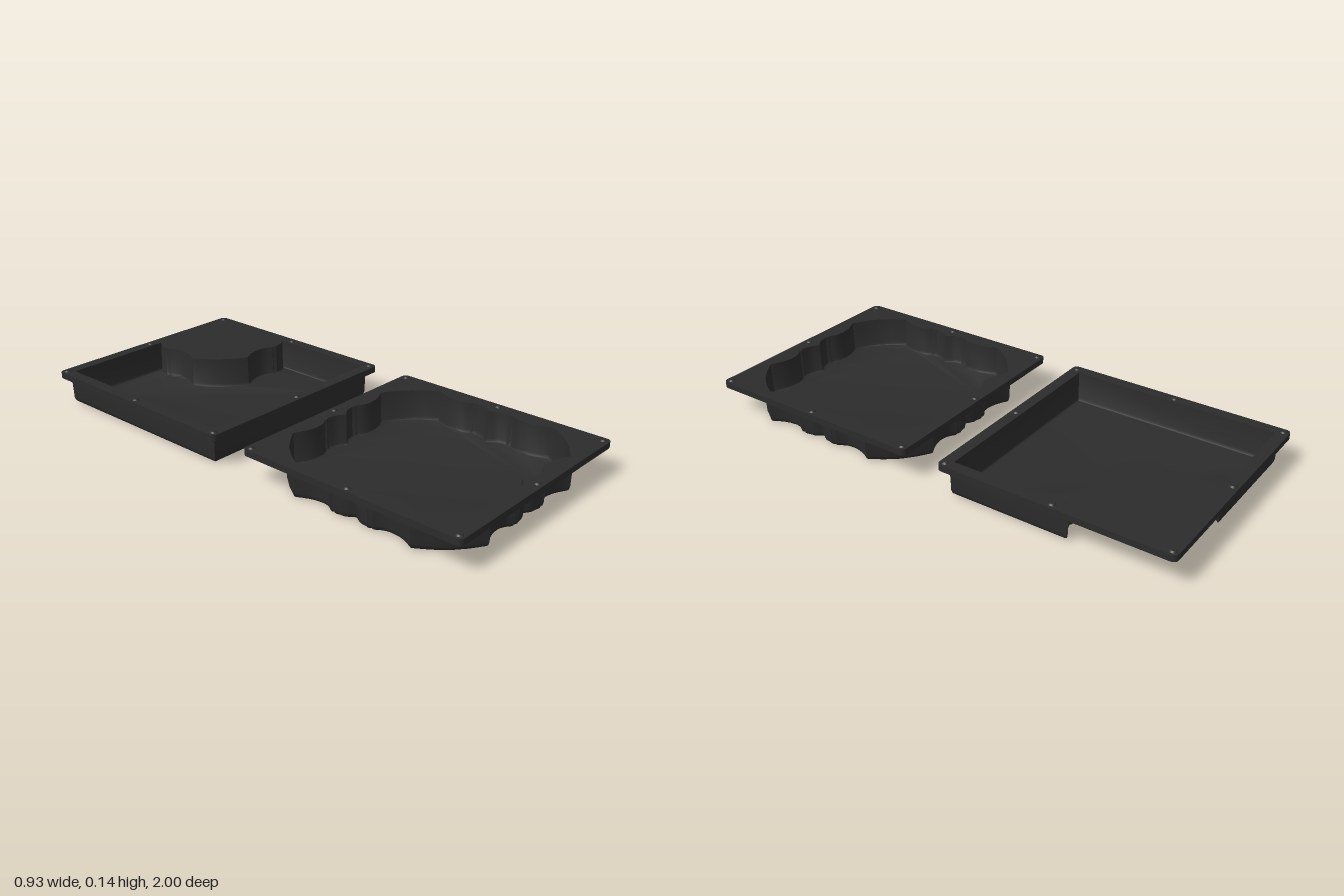
import * as THREE from 'three';
import { toCreasedNormals } from 'three/addons/utils/BufferGeometryUtils.js';

const HALF = 0.463;   // half width of the rim
const WELL = 0.418;   // half width of the well opening
const TOP = 0.135;    // height of the rim surface

// Half of one scalloped side: [position along side, depth inward]
const scallop = [
  [-0.25, 0], [-0.23, 0.011], [-0.205, 0.022], [-0.18, 0.029], [-0.15, 0.032], [-0.125, 0.029],
  [-0.105, 0.02], [-0.09, 0.009], [-0.082, 0.013], [-0.069, 0.006], [-0.058, 0.009],
  [-0.035, 0.012], [-0.017, 0.023], [0, 0.036],
];

// Outline of the well scalloped on all four sides, as [x, z] points
function scallopedOutline() {
  const half = scallop.map(([t, d]) => [t, d - WELL]);
  const mirrored = half.slice(0, -1).reverse().map(([x, z]) => [-x, z]);
  let side = [...half, ...mirrored, [0.301, -0.385], [0.347, -0.347], [0.385, -0.301]];
  const points = [];
  for (let i = 0; i < 4; i++) {
    points.push(...side);
    side = side.map(([x, z]) => [-z, x]);
  }
  return points;
}

// Outline of the square well with a scalloped corner left out
function notchedOutline() {
  const edge = scallop.map(([t, d]) => [t + WELL, -0.005 - d]);
  const mirrored = edge.map(([x, z]) => [-z, -x]).reverse();
  return [
    [-WELL, -WELL], ...mirrored, [0.037, -0.119], [0.075, -0.075], [0.119, -0.037],
    ...edge, [WELL, WELL], [-WELL, WELL],
  ];
}

// Move an outline outward by a distance, with mitred corners
function offset(points, distance) {
  const n = points.length;
  const normal = (a, b) => {
    const dx = b[0] - a[0], dz = b[1] - a[1], l = Math.hypot(dx, dz);
    return [dz / l, -dx / l];
  };
  return points.map((p, i) => {
    const a = normal(points[(i + n - 1) % n], p);
    const b = normal(p, points[(i + 1) % n]);
    const k = distance / Math.max(0.5, 1 + a[0] * b[0] + a[1] * b[1]);
    return [p[0] + (a[0] + b[0]) * k, p[1] + (a[1] + b[1]) * k];
  });
}

// Thin-walled well: rings run down the outside, then up the inside
function wellGeometry(outline) {
  const positions = [];
  const ring = ([distance, y]) => offset(outline, distance).map(([x, z]) => [x, y, z]);
  const outside = [[0.012, 0.125], [0.009, 0.02], [0.006, 0.008], [0, 0.002], [-0.007, 0]].map(ring);
  const inside = [[-0.011, 0.012], [-0.006, 0.015], [-0.003, 0.024], [0, TOP], [0.006, TOP]].map(ring);
  for (const rings of [outside, inside]) {
    for (let r = 0; r < rings.length - 1; r++) {
      const a = rings[r], b = rings[r + 1];
      for (let i = 0; i < a.length; i++) {
        const j = (i + 1) % a.length;
        positions.push(...a[i], ...a[j], ...b[i], ...a[j], ...b[j], ...b[i]);
      }
    }
  }
  // Floor, underside and upper side
  const cap = (points, flip) => {
    const flat = points.map(([x, , z]) => new THREE.Vector2(x, z));
    for (const [a, b, c] of THREE.ShapeUtils.triangulateShape(flat, [])) {
      for (const k of flip ? [a, c, b] : [a, b, c]) positions.push(...points[k]);
    }
  };
  cap(outside[outside.length - 1], false);
  cap(inside[0], true);
  const geometry = new THREE.BufferGeometry();
  geometry.setAttribute('position', new THREE.Float32BufferAttribute(positions, 3));
  return toCreasedNormals(geometry, 0.6);
}

// Square outline with rounded corners
function roundedSquare(h, r, Type = THREE.Shape) {
  const s = new Type();
  s.absarc(h - r, h - r, r, 0, Math.PI / 2);
  s.absarc(r - h, h - r, r, Math.PI / 2, Math.PI);
  s.absarc(r - h, r - h, r, Math.PI, Math.PI * 1.5);
  s.absarc(h - r, r - h, r, Math.PI * 1.5, Math.PI * 2);
  s.closePath();
  return s;
}

// Flat slab hanging down from the rim surface
function slab(shape, depth) {
  const geometry = new THREE.ExtrudeGeometry(shape, { depth, bevelEnabled: false, curveSegments: 5 });
  return geometry.rotateX(Math.PI / 2).translate(0, TOP, 0);
}

function createTray(name, outline, material) {
  const tray = new THREE.Group();
  tray.name = name;
  const add = (part, geometry) => {
    const mesh = new THREE.Mesh(geometry, material);
    mesh.name = part;
    tray.add(mesh);
    return mesh;
  };

  add('well', wellGeometry(outline));

  // Rim plate around the well
  const plate = roundedSquare(HALF - 0.008, 0.012);
  plate.holes.push(new THREE.Path(offset(outline, 0.006).map(([x, z]) => new THREE.Vector2(x, z))));
  add('rimPlate', slab(plate, 0.012));

  // Lip turned down along the rim
  const lip = roundedSquare(HALF, 0.02);
  lip.holes.push(roundedSquare(HALF - 0.008, 0.012, THREE.Path));
  add('rimLip', slab(lip, 0.025));

  // Low stacking nubs at corners and side middles
  const nub = new THREE.CylinderGeometry(0.008, 0.015, 0.006, 16);
  for (const x of [-0.44, 0, 0.44]) {
    for (const z of [-0.44, 0, 0.44]) {
      if (x || z) add('stackingNub', nub).position.set(x, TOP + 0.002, z);
    }
  }
  return tray;
}

export function createModel() {
  const model = new THREE.Group();
  model.name = 'trayPair';
  const plastic = new THREE.MeshStandardMaterial({ color: 0x2c2c2c });
  plastic.name = 'charcoal plastic';

  const front = createTray('scallopedTray', scallopedOutline(), plastic);
  front.position.z = 0.537;
  const back = createTray('notchedTray', notchedOutline(), plastic);
  back.position.z = -0.537;
  model.add(front, back);
  return model;
}
